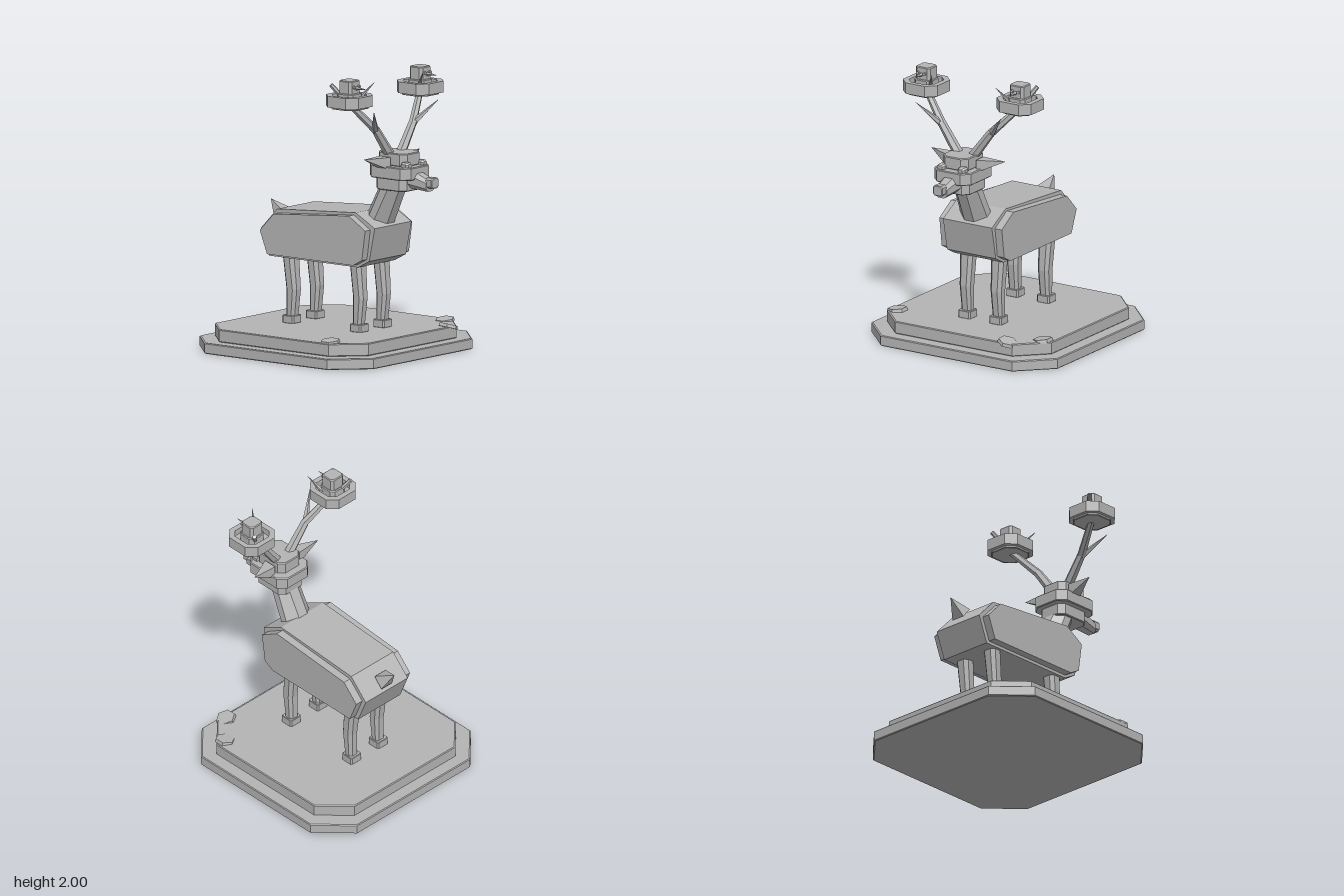
import * as THREE from 'three';

const stone = new THREE.MeshStandardMaterial({ color: 0xb4b4b4, flatShading: true });
stone.name = 'stoneGrey';

export function createModel() {
  const root = new THREE.Group();
  root.name = 'deerStatue';

  const add = (name, geometry, parent = root) => {
    const m = new THREE.Mesh(geometry, stone);
    m.name = name;
    parent.add(m);
    return m;
  };

  // Octagon made by cutting the corners of a rectangle, counter-clockwise
  const octagon = (w, d, c) => [
    [w, -d + c], [w, d - c], [w - c, d], [-w + c, d],
    [-w, d - c], [-w, -d + c], [-w + c, -d], [w - c, -d],
  ];

  // Joins octagonal sections [x, y, z, halfWidth, halfDepth, cut] along y or z
  const loft = (sections, axis = 'y') => {
    const rings = sections.map(([x, y, z, w, d, c]) => octagon(w, d, c).map(([u, v]) =>
      axis === 'y' ? [x + u, y, z - v] : [x + u, y + v, z]));
    const pos = [];
    const tri = (...p) => p.forEach((q) => pos.push(...q));
    for (let k = 0; k + 1 < rings.length; k++) {
      for (let i = 0; i < 8; i++) {
        const j = (i + 1) % 8, a = rings[k], b = rings[k + 1];
        tri(a[i], a[j], b[j]);
        tri(a[i], b[j], b[i]);
      }
    }
    const first = rings[0], last = rings[rings.length - 1];
    for (let i = 1; i < 7; i++) {
      tri(first[0], first[i + 1], first[i]);
      tri(last[0], last[i], last[i + 1]);
    }
    const g = new THREE.BufferGeometry();
    g.setAttribute('position', new THREE.Float32BufferAttribute(pos, 3));
    g.computeVertexNormals();
    return g;
  };

  // Horizontal slab with cut corners and a narrow bevel
  const slab = (x, z, w, d, y0, y1, cut, b = 0.006) => loft([
    [x, y0, z, w - b, d - b, cut], [x, y0 + b, z, w, d, cut],
    [x, y1 - b, z, w, d, cut], [x, y1, z, w - b, d - b, cut],
  ]);

  // Tapered rod between two points
  const rod = (a, b, r0, r1, sides = 6) => {
    const p = new THREE.Vector3(...a), q = new THREE.Vector3(...b);
    const dir = q.clone().sub(p);
    const g = new THREE.CylinderGeometry(r1, r0, dir.length(), sides);
    g.applyQuaternion(new THREE.Quaternion().setFromUnitVectors(
      new THREE.Vector3(0, 1, 0), dir.normalize()));
    const c = p.add(q).multiplyScalar(0.5);
    return g.translate(c.x, c.y, c.z);
  };

  // Pyramid from a four-cornered base (counter-clockwise seen from the tip)
  const pyramid = (base, tip) => {
    const pos = [];
    base.forEach((p, i) => pos.push(...p, ...base[(i + 1) % 4], ...tip));
    pos.push(...base[0], ...base[2], ...base[1], ...base[0], ...base[3], ...base[2]);
    const g = new THREE.BufferGeometry();
    g.setAttribute('position', new THREE.Float32BufferAttribute(pos, 3));
    g.computeVertexNormals();
    return g;
  };

  // Stepped base
  add('lowerBase', slab(0, -0.055, 0.782, 0.782, 0, 0.077, 0.23));
  add('upperBase', slab(0, -0.057, 0.692, 0.692, 0.077, 0.167, 0.2));

  // Flat loose stones
  [[-0.628, 0.172, 0.4, 0, 0.12], [0.435, 0.168, 0.605, 0.05, -0.28], [0.613, 0.168, 0.43, 0, 0.15]]
    .forEach(([x, y, z, rx, rz]) => {
      const s = add('flatStone', new THREE.CylinderGeometry(0.068, 0.073, 0.025, 6));
      s.position.set(x, y, z);
      s.rotation.set(rx, 0, rz);
    });

  // Body: side profiles as [z, y], extruded across x
  const extrudeSide = (points, width) => {
    const shape = new THREE.Shape(points.map((p) => new THREE.Vector2(...p)));
    return new THREE.ExtrudeGeometry(shape, { depth: width, bevelEnabled: false })
      .translate(0, 0, -width / 2).rotateY(-Math.PI / 2);
  };
  add('body', extrudeSide([[0.46, 0.926], [0.286, 1.022], [-0.42, 0.975], [-0.566, 0.825],
    [-0.49, 0.635], [0.31, 0.635], [0.41, 0.688]], 0.41));
  add('flanks', extrudeSide([[0.42, 0.912], [0.272, 1.004], [-0.407, 0.947], [-0.53, 0.82],
    [-0.465, 0.656], [0.31, 0.656], [0.39, 0.7]], 0.525));

  // Tail
  add('tail', pyramid([[-0.053, 0.94, -0.5], [-0.053, 0.862, -0.566],
    [0.053, 0.862, -0.566], [0.053, 0.94, -0.5]].reverse(), [0, 1.0, -0.642]));

  // Legs with hooves
  for (const s of [1, -1]) {
    [['front', 0.248, 0.27, 0.256, 0.26], ['rear', -0.357, -0.331, -0.343, -0.347]]
      .forEach(([end, zTop, zKnee, zLow, zHoof]) => {
        const x = 0.13 * s;
        add(end + 'Leg', loft([
          [x, 0.2, zLow, 0.039, 0.035, 0.018],
          [x, 0.405, zKnee, 0.045, 0.046, 0.022],
          [x, 0.66, zTop, 0.054, 0.05, 0.025],
        ]));
        add(end + 'Hoof', slab(x, zHoof, 0.051, 0.05, 0.165, 0.222, 0.01, 0.004));
      });
  }

  // Neck
  add('neck', loft([[0, 0.92, 0.325, 0.115, 0.105, 0.075], [0, 1.22, 0.47, 0.098, 0.09, 0.058]]));

  // Head in three stacked tiers
  const head = new THREE.Group();
  head.name = 'head';
  root.add(head);
  add('jaw', slab(0, 0.508, 0.115, 0.138, 1.19, 1.277, 0.04), head);
  add('brow', slab(0, 0.517, 0.154, 0.185, 1.277, 1.367, 0.055), head);
  add('crown', slab(0, 0.515, 0.106, 0.13, 1.367, 1.458, 0.04), head);
  add('snout', loft([[0, 1.285, 0.62, 0.072, 0.07, 0.035], [0, 1.242, 0.795, 0.048, 0.042, 0.022]], 'z'), head);
  add('nose', loft([[0, 1.262, 0.785, 0.04, 0.038, 0.014], [0, 1.262, 0.835, 0.04, 0.038, 0.014],
    [0, 1.262, 0.84, 0.035, 0.033, 0.014]], 'z'), head);

  for (const s of [1, -1]) {
    const side = new THREE.Group();
    side.name = s > 0 ? 'leftSide' : 'rightSide';
    root.add(side);
    const m = (x, y, z) => [x * s, y, z];

    // Eye
    add('eye', loft([[0.085 * s, 1.377, 0.625, 0.03, 0.024, 0.013],
      [0.085 * s, 1.377, 0.665, 0.03, 0.024, 0.013],
      [0.085 * s, 1.377, 0.682, 0.018, 0.014, 0.007]], 'z'), side);

    // Ear
    const earBase = [m(0.12, 1.338, 0.535), m(0.12, 1.338, 0.434),
      m(0.12, 1.43, 0.434), m(0.12, 1.43, 0.535)];
    add('ear', pyramid(s > 0 ? earBase : earBase.reverse(), m(0.312, 1.428, 0.447)), side);

    // Antler with one forward tine
    add('antlerBase', rod(m(0.05, 1.42, 0.482), m(0.21, 1.635, 0.47), 0.038, 0.03), side);
    add('antlerTop', rod(m(0.203, 1.625, 0.473), m(0.385, 1.82, 0.39), 0.03, 0.024), side);
    add('antlerTine', rod(m(0.21, 1.625, 0.47), m(0.36, 1.785, 0.578), 0.026, 0.001, 5), side);

    // Nest: rim around a sunken floor
    const x = 0.394 * s, z = 0.385;
    const toV = (p) => p.map((q) => new THREE.Vector2(...q));
    const rim = new THREE.Shape(toV(octagon(0.145, 0.145, 0.065)));
    rim.holes.push(new THREE.Path(toV(octagon(0.106, 0.106, 0.045)).reverse()));
    add('nestRim', new THREE.ExtrudeGeometry(rim, { depth: 0.08, bevelEnabled: false })
      .rotateX(-Math.PI / 2).translate(x, 1.815, z), side);
    add('nestFloor', slab(x, z, 0.118, 0.118, 1.8, 1.85, 0.052, 0.004), side);

    // Small bird: body, eyes, beak
    add('birdBody', slab(x, z, 0.07, 0.07, 1.845, 1.91, 0.025), side);
    add('birdHead', slab(x, z, 0.06, 0.058, 1.9, 2.0, 0.018), side);
    for (const e of [1, -1]) {
      const eye = add('birdEye', new THREE.CylinderGeometry(0.012, 0.012, 0.02, 6).rotateX(Math.PI / 2), side);
      eye.position.set(x + 0.028 * e, 1.957, z + 0.064);
    }
    add('birdBeak', rod([x, 1.947, z + 0.055], [x, 1.947, 0.53], 0.015, 0.001, 4), side);

    // Twigs sticking out of the nest
    add('twig', rod(m(0.405, 1.86, 0.345), m(0.47, 1.965, 0.28), 0.018, 0.016), side);
    add('thornTwig', rod(m(0.335, 1.86, 0.42), m(0.27, 1.98, 0.51), 0.018, 0.001, 5), side);
  }

  return root;
}
